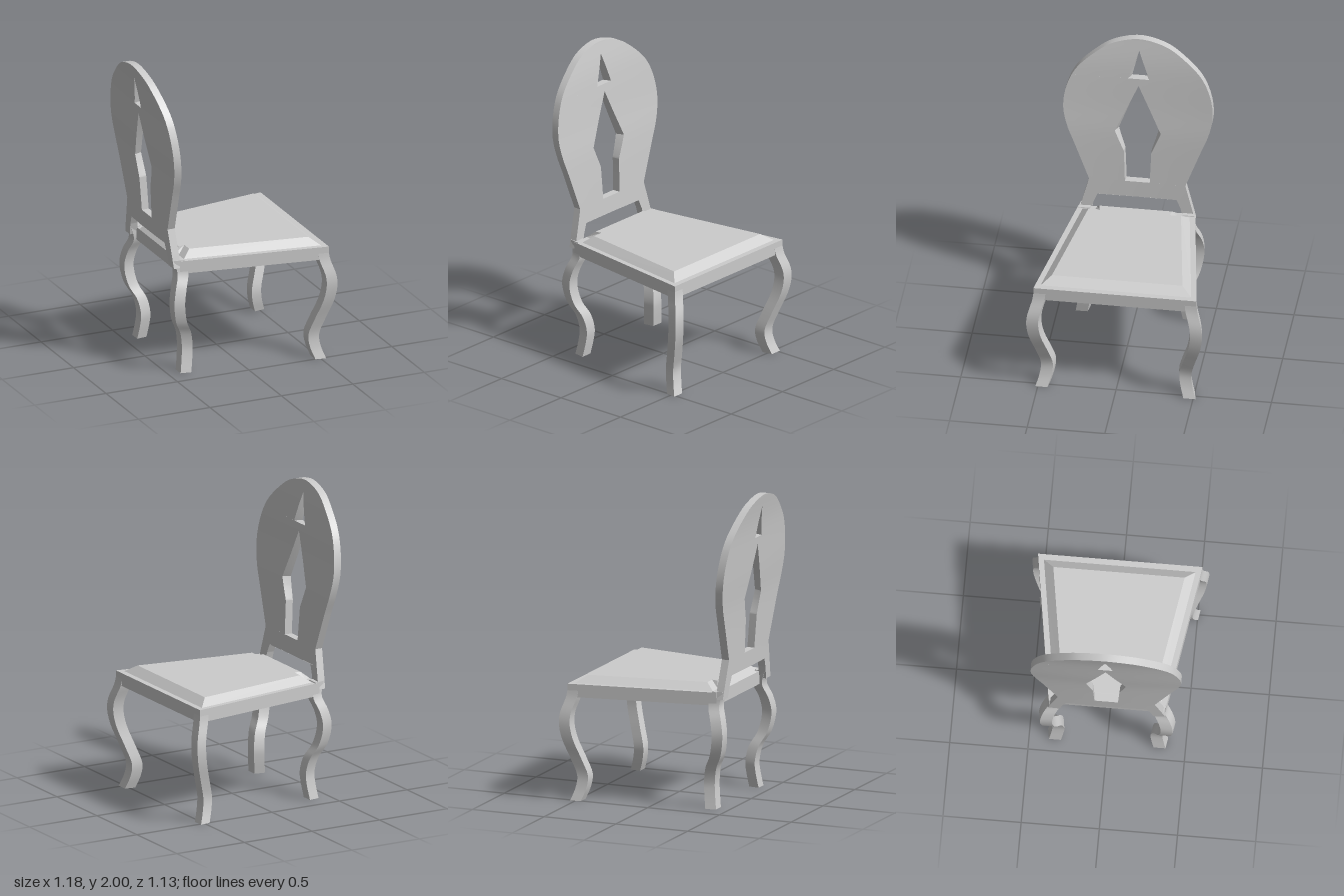
import * as THREE from 'three';
import { mergeGeometries, toCreasedNormals } from 'three/addons/utils/BufferGeometryUtils.js';

const V = (x, y, z) => new THREE.Vector3(x, y, z);
const lerp = THREE.MathUtils.lerp;
const SLOPE = 0.155; // flare of the seat sides towards the front

// Skins a stack of equal-length rings, caps both ends and orients faces outward.
function loft(rings) {
  const tris = [];
  const n = rings[0].length;
  for (let r = 0; r < rings.length - 1; r++) {
    for (let i = 0; i < n; i++) {
      const j = (i + 1) % n;
      const a = rings[r][i], b = rings[r][j], c = rings[r + 1][j], d = rings[r + 1][i];
      if ([a, b, c, d].every(p => Math.abs(p.z) < 1e-6)) continue; // seam on the mirror plane
      tris.push([a, b, c], [a, c, d]);
    }
  }
  for (const [ring, last] of [[rings[0], false], [rings[rings.length - 1], true]]) {
    const mid = ring.reduce((s, p) => s.add(p), V(0, 0, 0)).divideScalar(n);
    ring.forEach((p, i) => {
      const q = ring[(i + 1) % n];
      tris.push(last ? [mid, p, q] : [mid, q, p]);
    });
  }
  const solid = tris.filter(([a, b, c]) =>
    b.clone().sub(a).cross(c.clone().sub(a)).length() > 1e-9);
  const volume = solid.reduce((s, [a, b, c]) => s + a.dot(b.clone().cross(c)), 0);
  const points = solid.flatMap(([a, b, c]) => (volume < 0 ? [a, c, b] : [a, b, c]));
  return new THREE.BufferGeometry().setFromPoints(points);
}

// Linear lookup in a list of [key, value] pairs sorted by key.
function lookup(table, key) {
  let i = 1;
  while (i < table.length - 1 && table[i][0] < key) i++;
  const [k0, v0] = table[i - 1], [k1, v1] = table[i];
  return lerp(v0, v1, THREE.MathUtils.clamp((key - k0) / (k1 - k0 || 1), 0, 1));
}

// Ring at height y from one half of a plan outline [x, z], mirrored in z.
function planRing(half, y) {
  return [...half.map(([x, z]) => V(x, y, z)),
    ...[...half].reverse().map(([x, z]) => V(x, y, -z))];
}

// Cabriole leg: a square section following the path of its outer corner.
function legGeometry(path, side) {
  const curve = new THREE.CatmullRomCurve3(path.map(p => V(...p)));
  const dx = -Math.sign(path[0][0]) * 0.07;
  const dz = 0.077;
  return loft(curve.getPoints(28).map(({ x, y, z }) => [
    V(x, y, side * z),
    V(x + dx, y, side * (z + dx * SLOPE)),
    V(x + dx, y, side * (z + dx * SLOPE - dz)),
    V(x, y, side * (z - dz)),
  ]));
}

// Outer edge of the backrest as [y, half width]
function backOutline() {
  const top = new THREE.SplineCurve([
    [0.31, 0.97], [0.4, 1.21], [0.46, 1.37], [0.482, 1.51], [0.455, 1.66],
    [0.387, 1.79], [0.243, 1.92], [0.135, 1.975], [0, 2], [-0.135, 1.975],
  ].map(p => new THREE.Vector2(...p)));
  const pts = top.getPoints(180).filter(p => p.x >= 0).map(p => [p.y, p.x]);
  return [[0.72, 0.375], [0.8, 0.355], ...pts, [2, 0]];
}

// Openings as [y, half width at the front, half width at the back]
const OPENINGS = [
  [0.72, 0.3, 0.3], [0.8, 0.28, 0.28], [0.86, 0.255, 0.255], [0.86, 0, 0],
  [0.97, 0, 0], [0.97, 0.08, 0.075], [1.19, 0.088, 0.085], [1.27, 0.122, 0.11],
  [1.335, 0.148, 0.128], [1.67, 0, 0], [1.72, 0, 0], [1.72, 0.068, 0.048],
  [1.92, 0, 0], [2, 0, 0],
];
// Lean of the backrest's front face as [y, x]
const LEAN = [[0.72, -0.413], [1, -0.428], [1.3, -0.447], [1.5, -0.468],
  [1.8, -0.497], [2, -0.53]];

function backrestGeometry() {
  const outline = backOutline();
  const lean = new THREE.SplineCurve(LEAN.map(p => new THREE.Vector2(...p)))
    .getPoints(60).map(p => [p.x, p.y]);
  const cols = 8;
  const half = side => {
    const ring = (y, front, back) => {
      const outer = lookup(outline, y);
      const point = (inner, u, depth) => {
        const z = lerp(Math.min(inner, outer), outer, u);
        const dish = 0.012 * (1 - (z / 0.482) ** 2);
        return V(lookup(lean, y) - dish - depth, y, side * z);
      };
      const pts = [];
      for (let i = 0; i <= cols; i++) pts.push(point(front, i / cols, 0));
      for (let i = cols; i >= 0; i--) pts.push(point(back, i / cols, 0.05));
      return pts;
    };
    const rings = [ring(...OPENINGS[0])];
    for (let k = 1; k < OPENINGS.length; k++) {
      const a = OPENINGS[k - 1], b = OPENINGS[k];
      const steps = a[0] === b[0] ? 1 : 10;
      for (let i = 1; i <= steps; i++) {
        const t = Math.sin((i / steps) * Math.PI / 2);
        rings.push(ring(...a.map((v, m) => lerp(v, b[m], t))));
      }
    }
    return loft(rings);
  };
  return mergeGeometries([half(1), half(-1)]);
}

export function createModel() {
  const chair = new THREE.Group();
  chair.name = 'chair';
  const material = new THREE.MeshStandardMaterial({ color: 0xcccccc });
  const add = (name, geometry, crease = 0.6) => {
    const mesh = new THREE.Mesh(toCreasedNormals(geometry, crease), material);
    mesh.name = name;
    chair.add(mesh);
  };

  // Seat frame, wider at the front
  const frame = [[-0.425, 0.375], [0.548, 0.526]];
  add('seatFrame', loft([planRing(frame, 0.68), planRing(frame, 0.765)]));

  // Bevelled cushion, notched around the back uprights
  const padBase = [[-0.425, 0.255], [-0.385, 0.265], [-0.385, 0.345], [0.51, 0.485]];
  const padTop = [[-0.37, 0.235], [-0.327, 0.225], [-0.327, 0.298], [0.45, 0.42]];
  add('seatCushion', loft([planRing(padBase, 0.765), planRing(padTop, 0.81)]), 0.2);

  // Legs: paths of the outer corner
  const frontPath = [[0.546, 0.74, 0.524], [0.555, 0.68, 0.532], [0.585, 0.58, 0.56],
    [0.59, 0.51, 0.566], [0.575, 0.41, 0.552], [0.53, 0.27, 0.51],
    [0.498, 0.16, 0.484], [0.507, 0.08, 0.492], [0.534, 0, 0.515]];
  const backPath = [[-0.465, 0.77, 0.365], [-0.442, 0.68, 0.375], [-0.47, 0.59, 0.41],
    [-0.487, 0.49, 0.425], [-0.465, 0.36, 0.405], [-0.42, 0.27, 0.37],
    [-0.402, 0.17, 0.352], [-0.406, 0.1, 0.357], [-0.42, 0, 0.373]];
  for (const side of [1, -1]) {
    add('frontLeg', legGeometry(frontPath, side));
    add('backLeg', legGeometry(backPath, side));
  }

  // Pierced balloon backrest
  add('backrest', backrestGeometry());
  return chair;
}
